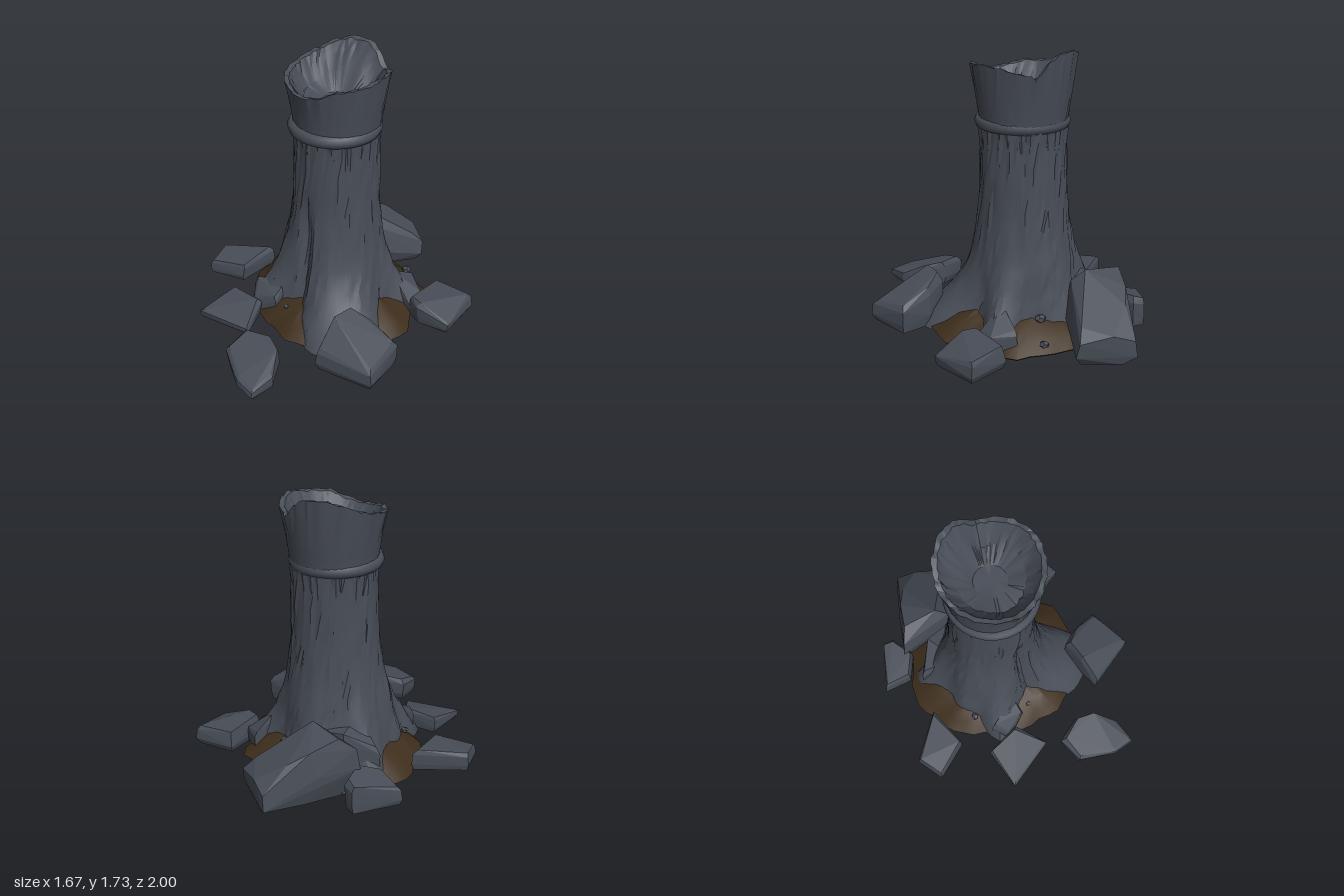
import * as THREE from 'three';
import { toCreasedNormals } from 'three/addons/utils/BufferGeometryUtils.js';
import { ConvexGeometry } from 'three/addons/geometries/ConvexGeometry.js';

const CX = 0.03, CZ = -0.1;          // tower axis
const DEG = Math.PI / 180;

let seed = 7;
const rand = () => (seed = (seed * 16807) % 2147483647) / 2147483647;
const jitter = (a) => (rand() - 0.5) * 2 * a;

// linear lookup in [[key, value], ...]
function lookup(table, k) {
  if (k <= table[0][0]) return table[0][1];
  for (let i = 1; i < table.length; i++) {
    const [k0, v0] = table[i - 1], [k1, v1] = table[i];
    if (k <= k1) return v0 + (v1 - v0) * (k - k0) / (k1 - k0);
  }
  return table[table.length - 1][1];
}

// closed ring surface; point(row, angleDeg) -> [x, y, z], rows run up the outside
function ringSurface(rows, cols, crease, point) {
  const pos = [], idx = [];
  for (let i = 0; i < rows; i++)
    for (let j = 0; j < cols; j++) pos.push(...point(i, j * 360 / cols));
  for (let i = 0; i < rows - 1; i++)
    for (let j = 0; j < cols; j++) {
      const a = i * cols + j, b = i * cols + (j + 1) % cols;
      idx.push(a, b, b + cols, a, b + cols, a + cols);
    }
  const g = new THREE.BufferGeometry();
  g.setAttribute('position', new THREE.Float32BufferAttribute(pos, 3));
  g.setIndex(idx);
  return toCreasedNormals(g, crease);
}

const polar = (r, deg, y, cx = CX, cz = CZ) =>
  [cx + r * Math.sin(deg * DEG), y, cz + r * Math.cos(deg * DEG)];
const angleGap = (a, b) => Math.abs(((a - b + 540) % 360) - 180);

// root lobes: angle, half width, extra reach, height falloff
const LOBES = [
  [30, 28, 0.27, 0.24], [62, 22, 0.22, 0.22], [322, 20, 0.23, 0.3],
  [285, 20, 0.09, 0.5], [240, 22, 0.2, 0.3], [117, 17, 0.22, 0.25], [185, 25, 0.1, 0.3],
];
const SHAFT = [[0, 0.35], [0.2, 0.335], [0.4, 0.315], [0.6, 0.288], [0.8, 0.27], [1.25, 0.257],
  [1.34, 0.268], [1.45, 0.285], [1.65, 0.315]];
const RIM = [[0, 1.565], [20, 1.59], [35, 1.625], [60, 1.64], [90, 1.66], [115, 1.65], [140, 1.62],
  [152, 1.6], [165, 1.68], [178, 1.725], [205, 1.73], [222, 1.7], [240, 1.66], [262, 1.63],
  [285, 1.61], [315, 1.6], [340, 1.575], [360, 1.565]];

function shaftRadius(y, t) {
  let r = lookup(SHAFT, y);
  for (const [a, w, reach, fall] of LOBES) {
    const d = angleGap(t, a) / w;
    r += reach * Math.exp(-d * d * 1.2) * Math.exp(-Math.pow(y / fall, 1.5));
  }
  // crevice down the front
  const g = angleGap(t, 2 - y * 8) / 7;
  if (y < 0.88) r -= 0.045 * Math.exp(-g * g) * Math.min(1, (0.88 - y) * 4);
  return r;
}

// shaft, flared crown, broken rim and hollow top in one skin
function towerGeometry() {
  const heights = [0, 0.06, 0.12, 0.18, 0.24, 0.3, 0.36, 0.43, 0.5, 0.6, 0.7, 0.8, 0.92, 1.05, 1.18, 1.28, 1.38, 1.48];
  const inside = [[0.315, 0], [0.285, -0.005], [0.255, -0.06], [0.2, -0.13], [0.1, 1.45], [0, 1.45]];
  return ringSurface(heights.length + inside.length, 72, 0.4, (i, t) => {
    if (i < heights.length) {
      const y = heights[i];
      const n = y < 1.2 ? 0.007 : 0.003;
      return polar(shaftRadius(y, t) + jitter(n), t, y);
    }
    const [r, dy] = inside[i - heights.length];
    if (dy > 1) return polar(r, t, dy);
    const top = lookup(RIM, t);
    return polar(r + jitter(0.006), t, top + dy + jitter(0.006));
  });
}

// low earth mound with a flat underside
const MOUND_EDGE = [[0, 0.54], [45, 0.59], [80, 0.61], [110, 0.55], [135, 0.6], [180, 0.55], [225, 0.58],
  [260, 0.59], [290, 0.54], [320, 0.5], [360, 0.54]];
function moundGeometry() {
  const prof = [[0, 0], [0.97, 0], [1, 0.015], [0.88, 0.07], [0.74, 0.125], [0.55, 0.175], [0, 0.18]];
  return ringSurface(prof.length, 48, 0.5, (i, t) => {
    const [k, y] = prof[i];
    const wob = 1 + 0.025 * Math.sin(t * DEG * 9) + 0.015 * Math.sin(t * DEG * 17);
    return polar(lookup(MOUND_EDGE, t) * k * wob, t, y + (i > 2 && i < 6 ? jitter(0.01) : 0), 0.02, -0.08);
  });
}

// chipped boulder from a footprint of [x, z, height] corners
function boulder(corners, inset = 0.88) {
  const n = corners.length;
  const mx = corners.reduce((s, c) => s + c[0], 0) / n;
  const mz = corners.reduce((s, c) => s + c[1], 0) / n;
  const pts = [];
  for (const [x, z, h] of corners) {
    for (const [k, f] of [[0.93, 0], [1, 0.3], [0.99, 0.8], [inset, 1]]) {
      const j = f ? 0.008 : 0;
      pts.push(new THREE.Vector3(mx + (x - mx) * k + jitter(j), h * f, mz + (z - mz) * k + jitter(j)));
    }
  }
  return new ConvexGeometry(pts);
}

const BOULDERS = {
  frontLeftBoulder: [[0.41, 0.24, 0.31], [0.55, 0.19, 0.25], [0.75, 0.2, 0.18], [0.77, 0.49, 0.14], [0.4, 0.55, 0.16], [0.4, 0.4, 0.31]],
  leftBlock: [[0.55, -0.52, 0.14], [0.81, -0.54, 0.13], [0.83, -0.23, 0.08], [0.62, -0.2, 0.15], [0.53, -0.24, 0.15]],
  rightBlock: [[-0.84, 0.06, 0.12], [-0.53, -0.11, 0.14], [-0.55, 0.18, 0.12], [-0.8, 0.25, 0.09]],
  frontRightBlock: [[-0.46, 0.36, 0.11], [-0.22, 0.36, 0.12], [-0.13, 0.58, 0.06], [-0.5, 0.64, 0.06]],
  frontBoulder: [[-0.07, 0.66, 0.15], [0.1, 0.62, 0.16], [0.22, 0.68, 0.15], [0.31, 0.83, 0.09],
    [0.29, 0.99, 0.06], [0.15, 0.97, 0.08], [-0.08, 0.83, 0.11]],
  backRightBoulder: [[-0.65, -0.46, 0.12], [-0.45, -0.7, 0.18], [-0.38, -0.67, 0.2], [-0.35, -0.5, 0.2], [-0.48, -0.4, 0.16]],
  rootStone: [[-0.34, 0.27, 0.2], [-0.1, 0.22, 0.24], [-0.12, 0.33, 0.16], [-0.28, 0.37, 0.12]],
  backRootStone: [[-0.42, -0.32, 0.24], [-0.25, -0.45, 0.34], [0, -0.45, 0.3], [-0.2, -0.2, 0.35]],
  leftRootStone: [[0.4, -0.46, 0.16], [0.53, -0.36, 0.12], [0.53, -0.24, 0.1], [0.34, -0.26, 0.26]],
};

export function createModel() {
  const root = new THREE.Group();
  root.name = 'ruinedTower';
  const stone = new THREE.MeshStandardMaterial({ color: 0x484d57 });
  stone.name = 'slate stone';
  const earth = new THREE.MeshStandardMaterial({ color: 0x3e2e1c });
  earth.name = 'brown earth';
  const add = (name, geo, mat = stone, parent = root) => {
    const m = new THREE.Mesh(geo, mat);
    m.name = name;
    parent.add(m);
    return m;
  };

  add('towerShaft', towerGeometry());
  add('earthMound', moundGeometry(), earth);

  // collar ring under the crown
  const collar = new THREE.TorusGeometry(0.248, 0.04, 8, 40).rotateX(Math.PI / 2);
  collar.scale(1, 1.05, 1);
  add('collarRing', collar).position.set(CX - 0.005, 1.295, CZ + 0.015);

  // chipped stone tongues hanging below the collar
  const tongues = new THREE.Group();
  tongues.name = 'hangingChips';
  root.add(tongues);
  for (let i = 0; i < 24; i++) {
    const len = 0.08 + rand() * 0.17, t = i * 15 + jitter(5);
    const g = new THREE.ConeGeometry(0.026 + rand() * 0.014, len, 4, 1).toNonIndexed();
    g.computeVertexNormals();
    g.rotateX(Math.PI).scale(1, 1, 0.45);
    const m = add('chip', g, stone, tongues);
    m.position.set(...polar(0.256, t, 1.265 - len / 2));
    m.rotation.y = t * DEG;
  }

  // loose boulders around the foot
  for (const [name, corners] of Object.entries(BOULDERS)) add(name, boulder(corners));

  // long fallen slab leaning against the back
  const slab = [[-0.4, 0.2, -0.52], [-0.38, 0.33, -0.53], [-0.3, 0.41, -0.6], [-0.2, 0.36, -0.75], [-0.24, 0.2, -0.74],
    [-0.02, 0.36, -0.47], [-0.08, 0.43, -0.53], [0.02, 0.15, -0.46], [-0.17, 0.02, -0.78], [-0.3, 0, -0.55],
    [-0.03, 0.15, -0.99], [-0.04, 0.05, -1], [0.02, 0, -0.94], [0.08, 0.19, -0.92], [0.24, 0.15, -0.81],
    [0.25, 0.06, -0.79], [0.2, 0, -0.78], [0.18, 0.22, -0.76], [0.03, 0, -0.55], [-0.1, 0.3, -0.84]];
  add('fallenSlab', new ConvexGeometry(slab.map((p) => new THREE.Vector3(...p))));

  // pebbles on the mound
  for (const [x, y, z, s] of [[0.28, 0.07, -0.56, 0.03], [0.19, 0.16, -0.43, 0.035], [-0.04, 0.11, 0.31, 0.022], [-0.36, 0.12, 0.12, 0.025]]) {
    const p = add('pebble', new THREE.DodecahedronGeometry(s));
    p.position.set(x, y, z);
    p.scale.y = 0.7;
  }
  return root;
}
